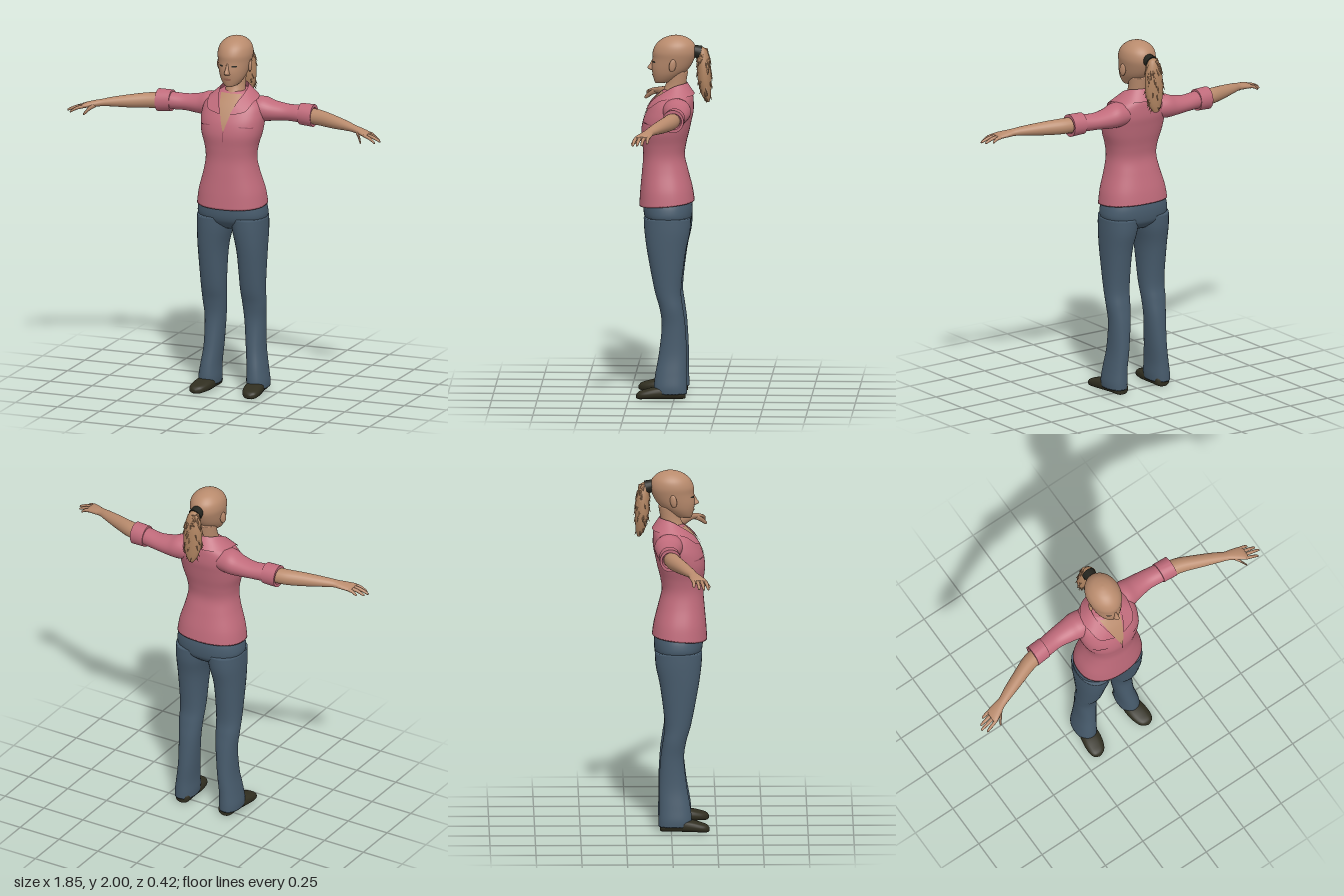
import * as THREE from 'three';
import { toCreasedNormals } from 'three/addons/utils/BufferGeometryUtils.js';

const V = (x, y, z) => new THREE.Vector3(x, y, z);
const mat = (name, color, side = THREE.FrontSide) => {
  const m = new THREE.MeshStandardMaterial({ color, side });
  m.name = name;
  return m;
};

// Catmull-Rom sample of a table of cross-sections [x, y, z, radiusA, radiusB]
function sample(rows, t) {
  const last = rows.length - 1, i = Math.min(Math.floor(t), last - 1), f = t - i;
  const [p, q, r, s] = [i - 1, i, i + 1, i + 2].map(k => rows[Math.max(0, Math.min(last, k))]);
  return q.map((_, k) => q[k] + 0.5 * f * (r[k] - p[k] + f * (2 * p[k] - 5 * q[k] + 4 * r[k] - s[k]
    + f * (3 * (q[k] - r[k]) + s[k] - p[k]))));
}

// Closed tube of superellipse sections running along +x, +y or +z
function loft(rows, { axis = 'y', n = 32, steps = 5, e = 2 } = {}) {
  const pos = [], idx = [], count = (rows.length - 1) * steps + 1;
  const pw = v => Math.sign(v) * Math.abs(v) ** (2 / e);
  const centres = [];
  for (let j = 0; j < count; j++) {
    const [x, y, z, a, b] = sample(rows, j / steps);
    centres.push([x, y, z]);
    for (let i = 0; i < n; i++) {
      const t = i / n * Math.PI * 2, c = a * pw(Math.cos(t)), s = b * pw(Math.sin(t));
      if (axis === 'y') pos.push(x + c, y, z + s);
      else if (axis === 'x') pos.push(x, y + c, z - s);
      else pos.push(x + c, y - s, z);
      if (j < count - 1) {
        const k = j * n + i, m = j * n + (i + 1) % n;
        idx.push(k, k + n, m, m, k + n, m + n);
      }
    }
  }
  const c0 = count * n, top = (count - 1) * n;
  pos.push(...centres[0], ...centres[count - 1]);
  for (let i = 0; i < n; i++) {
    const m = (i + 1) % n;
    idx.push(c0, i, m, c0 + 1, top + m, top + i);
  }
  return finish(pos, idx);
}

function finish(pos, idx) {
  const g = new THREE.BufferGeometry();
  g.setAttribute('position', new THREE.Float32BufferAttribute(pos, 3));
  g.setIndex(idx);
  g.computeVertexNormals();
  return g;
}

// Open grid surface from fn(u, v)
function patch(fn, nu = 12, nv = 12) {
  const pos = [], idx = [];
  for (let j = 0; j <= nv; j++) for (let i = 0; i <= nu; i++) {
    pos.push(...fn(i / nu, j / nv).toArray());
    if (i < nu && j < nv) {
      const a = j * (nu + 1) + i, b = a + nu + 1;
      idx.push(a, a + 1, b, a + 1, b + 1, b);
    }
  }
  return finish(pos, idx);
}

// Point on the front of an upright loft, lifted by off
function onFront(rows, e, x, y, off) {
  let lo = 0, hi = rows.length - 1;
  for (let k = 0; k < 30; k++) {
    const mid = (lo + hi) / 2;
    if (sample(rows, mid)[1] < y) lo = mid; else hi = mid;
  }
  const [, , cz, a, b] = sample(rows, lo);
  return V(x, y, cz + b * Math.max(0, 1 - Math.abs(x / a) ** e) ** (1 / e) + off);
}

function mirrored(g) {
  const m = g.clone().scale(-1, 1, 1);
  const ix = m.index ? Array.from(m.index.array) : [...Array(m.attributes.position.count).keys()];
  for (let i = 0; i < ix.length; i += 3) [ix[i + 1], ix[i + 2]] = [ix[i + 2], ix[i + 1]];
  m.setIndex(ix);
  return m;
}

// Upright section from half width and front / back depth
const sec = (y, a, front, back, x = 0) => [x, y, (front + back) / 2, a, (front - back) / 2];

export function createModel() {
  const root = new THREE.Group();
  const skin = mat('skin', 0xb98b6d), hair = mat('hair', 0xb08461), shirt = mat('shirt', 0xc06b7b, THREE.DoubleSide);
  const seam = mat('shirt seam', 0x9c5262), denim = mat('trousers', 0x475b6c), leather = mat('shoes', 0x302e20);
  const dark = mat('hair tie', 0x24241e), lip = mat('lips', 0xa16c58);
  const add = (name, g, m) => {
    const mesh = new THREE.Mesh(g, m);
    mesh.name = name;
    root.add(mesh);
  };
  const pair = (name, g, m) => { add('left ' + name, g, m); add('right ' + name, mirrored(g), m); };

  // Shirt body with a hem that dips at the front
  const torso = [sec(1.075, .197, .198, -.105), sec(1.15, .185, .192, -.095), sec(1.25, .156, .183, -.07),
    sec(1.33, .142, .177, -.052), sec(1.4, .15, .181, -.06), sec(1.47, .17, .187, -.077), sec(1.53, .178, .177, -.09),
    sec(1.58, .178, .156, -.1), sec(1.63, .165, .125, -.1), sec(1.67, .12, .09, -.095), sec(1.7, .078, .06, -.075)];
  const E = 2.3;
  const body = loft(torso, { n: 56, steps: 6, e: E });
  const bp = body.attributes.position;
  for (let i = 0; i < bp.count; i++) {
    const y = bp.getY(i);
    if (y < 1.13) bp.setY(i, y - 0.09 * bp.getZ(i) * (1.13 - y) / 0.055);
  }
  body.computeVertexNormals();
  add('shirt body', body, shirt);

  // Open neckline, placket and pocket edges lying on the shirt
  const chest = (x, y, off) => onFront(torso, E, x, y, off);
  add('neckline', patch((u, v) => {
    const y = 1.5 + .19 * v;
    return chest((2 * u - 1) * (.002 + .06 * v), y, .004);
  }, 16, 24), skin);
  add('placket', patch((u, v) => chest((u - .5) * .006, 1.44 + .06 * v, .004), 2, 8), seam);
  pair('pocket edge', patch((u, v) => chest(.085 + .07 * u, 1.525 - .008 * u + .006 * v, .005), 12, 2), seam);

  // Collar: a fold between an upper and a lower edge
  const half = (pts) => new THREE.CatmullRomCurve3([...pts.slice(1).reverse().map(p => V(-p.x, p.y, p.z)), ...pts]);
  const inner = half([V(0, 1.737, -.066), V(.05, 1.735, -.045), V(.075, 1.725, 0), V(.074, 1.695, .055),
    chest(.05, 1.645, .014), chest(.028, 1.59, .012)]);
  const outer = half([V(0, 1.675, -.106), V(.085, 1.672, -.085), V(.137, 1.666, -.01), V(.133, 1.65, .078),
    chest(.11, 1.61, .016), chest(.045, 1.592, .012)]);
  add('collar', patch((u, v) => outer.getPoint(u).lerp(inner.getPoint(u), v), 60, 4), shirt);

  // Sleeves, rolled cuffs and forearms
  pair('sleeve', loft([[.08, 1.6, -.005, .06, .075], [.16, 1.6, -.015, .068, .078], [.22, 1.592, -.02, .056, .068],
    [.3, 1.59, -.022, .046, .057], [.38, 1.592, -.012, .048, .054], [.42, 1.592, -.01, .048, .052]], { axis: 'x' }), shirt);
  pair('cuff', toCreasedNormals(loft([[.382, 1.592, -.012, .045, .045], [.382, 1.592, -.012, .06, .058],
    [.462, 1.59, -.007, .063, .059], [.462, 1.59, -.007, .045, .047], [.44, 1.59, -.008, .04, .04]],
  { axis: 'x', steps: 1 }), .8), shirt);
  pair('forearm and palm', loft([[.4, 1.59, -.005, .042, .045], [.5, 1.588, .012, .043, .045], [.6, 1.583, .05, .037, .04],
    [.7, 1.578, .09, .026, .033], [.75, 1.573, .112, .02, .028], [.79, 1.567, .127, .018, .036],
    [.83, 1.56, .143, .015, .043], [.85, 1.555, .148, .01, .04]], { axis: 'x', n: 24 }), skin);

  // Fingers from little finger to index, then thumb
  const tips = [[.885, 1.535, .118], [.915, 1.53, .147], [.927, 1.53, .172], [.905, 1.526, .196]];
  const digit = (name, [x, y, z], [tx, ty, tz], r) => pair(name, loft([[x, y, z, r, r],
    [(x + tx) / 2, (y + ty) / 2 + .006, (z + tz) / 2, r, r], [tx - .004, ty + .002, tz - .002, r * .7, r * .7],
    [tx, ty, tz, .001, .001]], { axis: 'x', n: 10, steps: 3 }), skin);
  tips.forEach((t, i) => digit('finger ' + (i + 1), [.832, 1.558, .112 + .022 * i], t, .0095));
  digit('thumb', [.775, 1.564, .14], [.824, 1.522, .2], .013);

  // Trousers
  add('trouser hips', loft([sec(.93, .08, .1, -.04), sec(.965, .16, .15, -.08), sec(1.0, .196, .17, -.092),
    sec(1.05, .195, .175, -.094), sec(1.1, .178, .17, -.085)], { n: 48, e: E }), denim);
  pair('trouser leg', loft([sec(.03, .057, .108, -.07, .143), sec(.07, .059, .112, -.07, .142), sec(.14, .054, .104, -.068, .137),
    sec(.25, .052, .085, -.068, .125), sec(.4, .058, .07, -.06, .118), sec(.5, .066, .082, -.047, .118),
    sec(.6, .07, .11, -.037, .116), sec(.8, .08, .148, -.06, .115), sec(.92, .094, .165, -.085, .105),
    sec(1.0, .099, .17, -.09, .099)], { e: 2.2 }), denim);

  // Shoes along z, soles resting on the ground
  pair('shoe', loft([[.138, .025, -.062, .02, .02], [.138, .032, -.045, .042, .032], [.14, .035, .02, .045, .035],
    [.147, .033, .1, .054, .033], [.155, .026, .16, .05, .026], [.16, .02, .195, .035, .02],
    [.162, .015, .21, .008, .008]], { axis: 'z', e: 2.6, n: 24 }), leather);

  // Neck and head
  add('neck', loft([sec(1.6, .07, .1, -.06), sec(1.66, .062, .085, -.06), sec(1.7, .055, .064, -.055),
    sec(1.74, .053, .05, -.06), sec(1.8, .055, .045, -.07)]), skin);
  const skull = [sec(1.734, .018, .11, .06), sec(1.745, .042, .116, .015), sec(1.78, .066, .125, -.035),
    sec(1.82, .08, .13, -.078), sec(1.87, .09, .125, -.105), sec(1.91, .095, .124, -.115), sec(1.95, .086, .105, -.105),
    sec(1.98, .06, .07, -.075), sec(1.995, .03, .03, -.038), sec(2.0, .004, .002, -.006)];
  add('head', loft(skull, { n: 40 }), skin);
  add('nose', loft([sec(1.802, .006, .125, .1), sec(1.808, .017, .142, .1), sec(1.818, .015, .154, .1),
    sec(1.84, .01, .14, .1), sec(1.868, .008, .126, .1)], { n: 16 }), skin);

  // Eyes and lips as thin plates on the face
  const oval = (cx, cy, w, h) => patch((u, v) => {
    const s = 2 * u - 1;
    return onFront(skull, 2, cx + s * w, cy + (2 * v - 1) * h * Math.sqrt(Math.max(0, 1 - s * s)), .003);
  }, 12, 4);
  pair('eye', oval(.038, 1.855, .015, .005), dark);
  add('lips', oval(0, 1.78, .024, .007), lip);

  // Ears
  const ear = new THREE.SphereGeometry(1, 16, 12).scale(.01, .036, .02);
  pair('ear', ear.rotateY(.35).rotateX(-.15).translate(.09, 1.842, .012), skin);

  // Ponytail with a tie and loose pointed tufts
  add('hair tie', new THREE.CylinderGeometry(.034, .038, .04, 20).rotateX(Math.PI / 2 - .25).translate(0, 1.908, -.12), dark);
  const tail = [[0, 1.63, -.177, .015, .01], [0, 1.67, -.169, .038, .026], [0, 1.74, -.161, .054, .037],
    [0, 1.82, -.157, .053, .038], [0, 1.88, -.152, .042, .033], [0, 1.92, -.146, .026, .024], [0, 1.932, -.142, .008, .008]];
  add('ponytail', loft(tail, { n: 20, steps: 4 }), hair);
  let seed = 7;
  const rand = () => (seed = (seed * 16807) % 2147483647) / 2147483647;
  const tufts = new THREE.Group();
  tufts.name = 'ponytail tufts';
  for (let i = 0; i < 56; i++) {
    const [, y, z, a, b] = sample(tail, .5 + 4.3 * rand()), t = i * 2.4;
    const dir = V(Math.cos(t) * .5, -.9, Math.sin(t) * .35).normalize();
    const tuft = new THREE.Mesh(new THREE.ConeGeometry(.009, .045, 5), hair);
    tuft.position.set(a * Math.cos(t), y, z + b * Math.sin(t));
    tuft.quaternion.setFromUnitVectors(V(0, 1, 0), dir);
    tufts.add(tuft);
  }
  root.add(tufts);
  return root;
}
